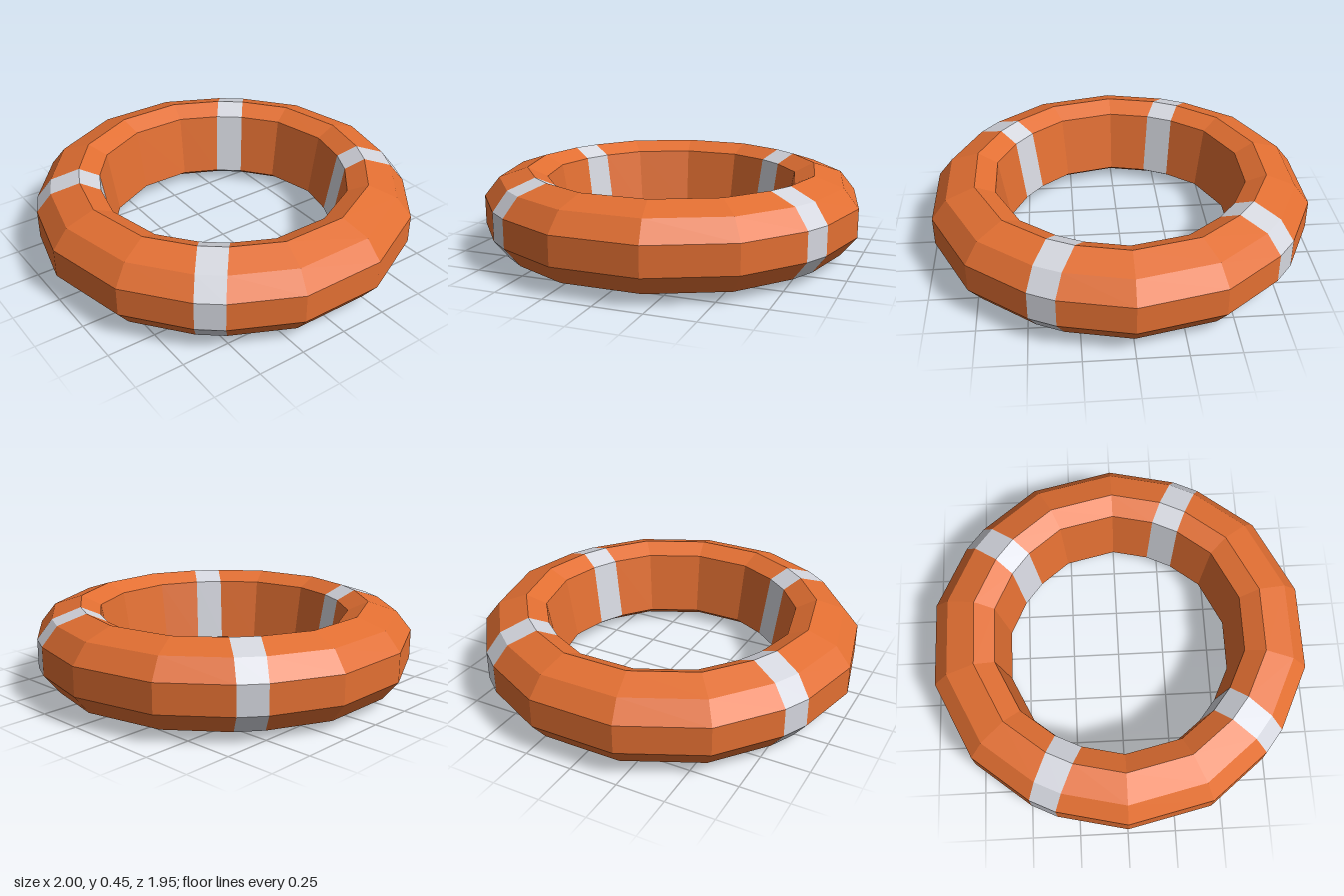
import * as THREE from 'three';

const SIDES = 14;
const STEP = (Math.PI * 2) / SIDES;
const BAND_HALF = 0.073; // half width of a band
const BAND_CORNERS = [1, 5, 8, 12]; // ring corners that are cut off by a band

// cross-section of the tube as [radius, height], counter-clockwise
const PROFILE = [
  [1.0, 0.15], [1.0, 0.3], [0.92, 0.4], [0.77, 0.45],
  [0.665, 0.4], [0.61, 0.065], [0.71, 0], [0.92, 0.05],
];

// a station places the section at a corner, shifted along the flat side by t
function place(station, [r, y]) {
  const { angle, t } = station;
  const c = Math.cos(angle), s = Math.sin(angle);
  const radial = r - Math.abs(t) * Math.tan(STEP / 2);
  return [radial * c - t * s, y, radial * s + t * c];
}

// skin the section between pairs of stations
function skin(pairs) {
  const pos = [];
  for (const [a, b] of pairs) {
    PROFILE.forEach((p, i) => {
      const q = PROFILE[(i + 1) % PROFILE.length];
      const A = place(a, p), B = place(a, q), C = place(b, p), D = place(b, q);
      pos.push(...A, ...B, ...D, ...A, ...D, ...C);
    });
  }
  const geo = new THREE.BufferGeometry();
  geo.setAttribute('position', new THREE.Float32BufferAttribute(pos, 3));
  geo.computeVertexNormals();
  return geo;
}

export function createModel() {
  const orange = new THREE.MeshStandardMaterial({ color: 0xe26f32 });
  orange.name = 'orange';
  const paleGrey = new THREE.MeshStandardMaterial({ color: 0xd4d6de });
  paleGrey.name = 'paleGrey';

  // start and end station of every corner; they differ only at bands
  const corners = [];
  for (let i = 0; i < SIDES; i++) {
    const angle = i * STEP;
    const w = BAND_CORNERS.includes(i) ? BAND_HALF : 0;
    corners.push([{ angle, t: -w }, { angle, t: w }]);
  }

  const group = new THREE.Group();
  group.name = 'lifebuoy';

  // orange float ring
  const ring = new THREE.Mesh(
    skin(corners.map((c, i) => [c[1], corners[(i + 1) % SIDES][0]])), orange);
  ring.name = 'floatRing';
  group.add(ring);

  // four pale bands wrapped round the ring
  BAND_CORNERS.forEach((i, n) => {
    const band = new THREE.Mesh(skin([corners[i]]), paleGrey);
    band.name = 'band' + (n + 1);
    group.add(band);
  });
  return group;
}
